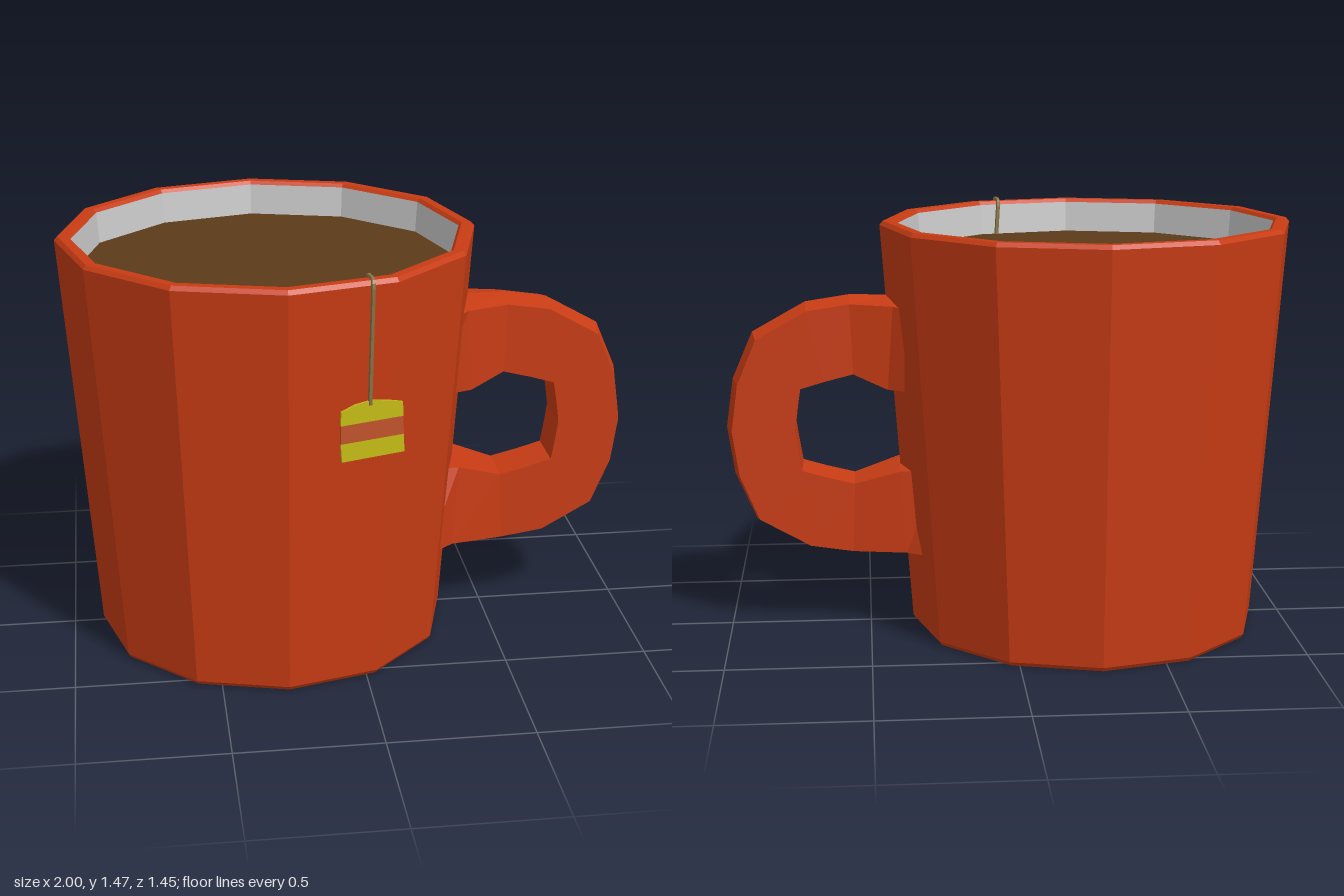
import * as THREE from 'three';

const CX = -0.275; // mug axis
const SIDES = 12;

const paint = (color, side = THREE.FrontSide) =>
  new THREE.MeshStandardMaterial({ color, flatShading: true, side });

function add(group, name, geometry, material) {
  const mesh = new THREE.Mesh(geometry, material);
  mesh.name = name;
  group.add(mesh);
  return mesh;
}

function lathe(points) {
  return new THREE.LatheGeometry(points.map(([r, y]) => new THREE.Vector2(r, y)), SIDES)
    .translate(CX, 0, 0);
}

// Ridged five-sided section swept along the handle.
// Station: outer x, outer y, inner x, inner y, outer half-width, inner half-width
function handleGeometry() {
  const upper = [
    [0.30, 1.165, 0.30, 0.87, 0.24, 0.15],
    [0.41, 1.175, 0.43, 0.88, 0.135, 0.125],
    [0.56, 1.178, 0.55, 0.93, 0.09, 0.09],
    [0.71, 1.155, 0.65, 0.905, 0.09, 0.09],
    [0.888, 1.055, 0.735, 0.88, 0.09, 0.09],
    [0.955, 0.895, 0.748, 0.80, 0.09, 0.09],
  ];
  const middle = [0.978, 0.73, 0.757, 0.73, 0.09, 0.09];
  const lower = upper.map(([ox, oy, ix, iy, a, b], i) => {
    const shift = i < 2 ? 0.04 : 0; // the wall tapers inward lower down
    return [ox - shift, 1.465 - oy, ix - shift, 1.465 - iy, a, b];
  }).reverse();
  const stations = [...upper, middle, ...lower];

  const positions = [];
  const index = [];
  for (const [ox, oy, ix, iy, a, b] of stations) {
    const out = new THREE.Vector2(ox - ix, oy - iy).normalize().multiplyScalar(0.022);
    positions.push(ox, oy, a, ox + out.x, oy + out.y, 0, ox, oy, -a, ix, iy, -b, ix, iy, b);
  }
  for (let i = 0; i < stations.length - 1; i++) {
    for (let j = 0; j < 5; j++) {
      const p = i * 5 + j;
      const q = i * 5 + ((j + 1) % 5);
      index.push(p, p + 5, q + 5, p, q + 5, q);
    }
  }
  const geometry = new THREE.BufferGeometry();
  geometry.setAttribute('position', new THREE.Float32BufferAttribute(positions, 3));
  geometry.setIndex(index);
  geometry.computeVertexNormals();
  return geometry;
}

// One band of the paper tag, from its corner points
function tagBand(corners) {
  const shape = new THREE.Shape(corners.map(([x, y]) => new THREE.Vector2(x, y)));
  return new THREE.ExtrudeGeometry(shape, { depth: 0.008, bevelEnabled: false })
    .translate(0, 0, -0.004);
}

export function createModel() {
  const model = new THREE.Group();
  model.name = 'teaMug';
  const red = paint(0xc83c14);

  // Outer body with small chamfers at the foot and rim
  add(model, 'mugBody', lathe([
    [0, 0], [0.61, 0], [0.621, 0.015], [0.725, 1.443], [0.713, 1.457],
    [0.68, 1.457], [0.669, 1.445],
  ]), red);

  // Pale inner wall and the drink
  add(model, 'innerWall', lathe([[0.669, 1.445], [0.658, 1.3]]), paint(0xcccccc));
  const tea = new THREE.CircleGeometry(0.661, SIDES).rotateX(-Math.PI / 2).translate(CX, 1.335, 0);
  add(model, 'tea', tea, paint(0x5c3b1a));

  add(model, 'handle', handleGeometry(), red);

  // String from the drink, over the rim and down to the tag
  const path = new THREE.CurvePath();
  const knots = [
    [0, 1.32, 0.575], [-0.008, 1.45, 0.582], [-0.008, 1.463, 0.595],
    [0, 1.463, 0.655], [0, 1.445, 0.665], [-0.006, 1.04, 0.643],
  ].map((p) => new THREE.Vector3(...p));
  for (let i = 1; i < knots.length; i++) path.add(new THREE.LineCurve3(knots[i - 1], knots[i]));
  add(model, 'string', new THREE.TubeGeometry(path, 48, 0.008, 5), paint(0x8a7446));

  // Striped tag lying along the front facet
  const tag = new THREE.Group();
  tag.name = 'tag';
  const yellow = paint(0xc4bc14);
  add(tag, 'tagTop', tagBand([
    [-0.11, 0.98], [0.11, 0.985], [0.108, 1.035], [0.06, 1.046], [0, 1.055], [-0.06, 1.046], [-0.108, 1.028],
  ]), yellow);
  add(tag, 'tagStripe', tagBand([
    [-0.11, 0.917], [0.112, 0.922], [0.11, 0.985], [-0.11, 0.98],
  ]), paint(0xc0522c));
  add(tag, 'tagBottom', tagBand([
    [-0.106, 0.854], [0.115, 0.86], [0.112, 0.922], [-0.11, 0.917],
  ]), yellow);
  tag.position.z = 0.64;
  tag.rotation.y = Math.PI / 12;
  model.add(tag);

  return model;
}
